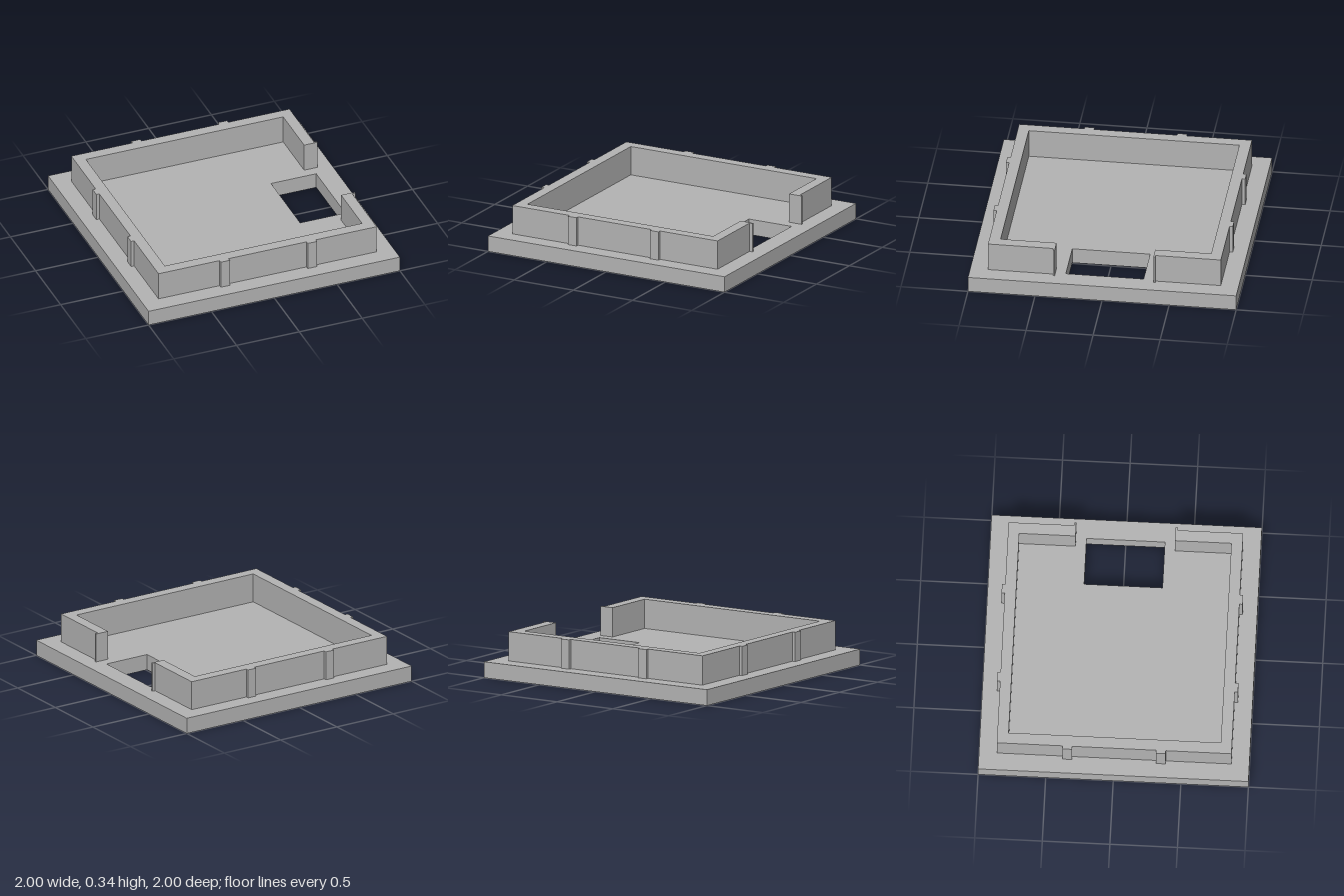
import * as THREE from 'three';

const BASE_H = 0.12, WALL_TOP = 0.34;

// Extrude a plan-view outline upwards from height y0 to y1
function slab(name, shape, y0, y1, material) {
  const geo = new THREE.ExtrudeGeometry(shape, { depth: y1 - y0, bevelEnabled: false });
  geo.rotateX(-Math.PI / 2);
  geo.translate(0, y0, 0);
  const mesh = new THREE.Mesh(geo, material);
  mesh.name = name;
  return mesh;
}

const outline = (points) => points.map(([x, y]) => new THREE.Vector2(x, y));
const rect = (x0, y0, x1, y1) => outline([[x0, y0], [x1, y0], [x1, y1], [x0, y1]]);

export function createModel() {
  const group = new THREE.Group();
  group.name = 'trayLid';
  const grey = new THREE.MeshStandardMaterial({ color: 0xb3b3b3 });
  grey.name = 'grey';

  // Square base plate with a rectangular opening on the left side
  const base = new THREE.Shape(rect(-1, -1, 1, 1));
  base.holes.push(new THREE.Path(rect(0.49, -0.29, 0.85, 0.29)));
  group.add(slab('basePlate', base, 0, BASE_H, grey));

  // Rim wall: half of the outer outline with its grip ribs, mirrored front to back
  const inner = 0.785, outer = 0.868, rib = 0.892, r0 = 0.31, r1 = 0.382, gap = 0.368;
  const half = [
    [inner, gap], [rib, gap], [rib, r1], [outer, r1], [outer, outer],
    [r1, outer], [r1, rib], [r0, rib], [r0, outer],
    [-r0, outer], [-r0, rib], [-r1, rib], [-r1, outer],
    [-outer, outer], [-outer, r1], [-rib, r1], [-rib, r0], [-outer, r0],
  ];
  const mirrored = half.map(([x, y]) => [x, -y]).reverse();
  const inside = [[inner, -inner], [-inner, -inner], [-inner, inner], [inner, inner]];
  const wall = new THREE.Shape(outline([...half, ...mirrored, ...inside]));
  group.add(slab('rimWall', wall, BASE_H, WALL_TOP, grey));

  return group;
}
